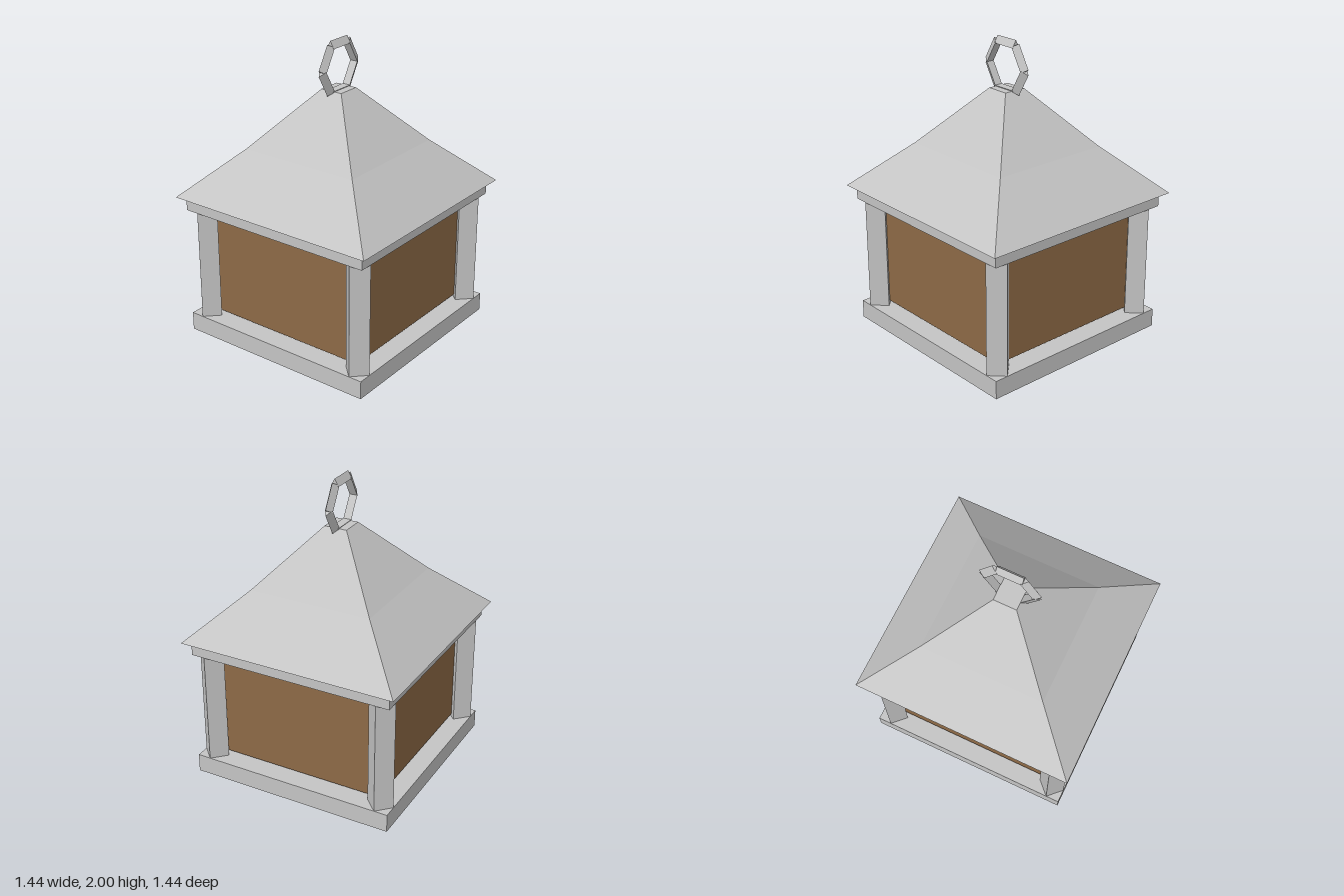
import * as THREE from 'three';

export function createModel() {
  const model = new THREE.Group();
  model.name = 'lantern';

  const metal = new THREE.MeshStandardMaterial({ color: 0xc4c4c4, flatShading: true });
  metal.name = 'grey metal';
  const amber = new THREE.MeshStandardMaterial({ color: 0x8d6a46, flatShading: true });
  amber.name = 'amber glass';

  const add = (name, geometry, material, parent = model) => {
    const mesh = new THREE.Mesh(geometry, material);
    mesh.name = name;
    parent.add(mesh);
    return mesh;
  };

  // Square slab given by its half width and its bottom and top heights
  const slab = (name, half, y0, y1, material) => {
    const mesh = add(name, new THREE.BoxGeometry(half * 2, y1 - y0, half * 2), material);
    mesh.position.y = (y0 + y1) / 2;
  };

  slab('foot', 0.555, 0, 0.06, metal);
  slab('base', 0.675, 0.08, 0.2, metal);
  slab('glassBody', 0.56, 0.22, 0.93, amber);
  slab('topPlate', 0.675, 0.93, 1.02, metal);

  // Corner posts: four-sided, turned edge-on to the front
  const posts = new THREE.Group();
  posts.name = 'posts';
  model.add(posts);
  const postGeometry = new THREE.CylinderGeometry(0.0875, 0.0875, 0.73, 4);
  for (const x of [-1, 1]) {
    for (const z of [-1, 1]) {
      add('cornerPost', postGeometry, metal, posts).position.set(x * 0.5875, 0.565, z * 0.5875);
    }
  }

  // Closed four-sided roof with a slight kink halfway up
  const profile = [[0, 1.02], [0.72, 1.02], [0.405, 1.32], [0.075, 1.685], [0, 1.685]]
    .map(([half, y]) => new THREE.Vector2(half * Math.SQRT2, y));
  add('roof', new THREE.LatheGeometry(profile, 4, Math.PI / 4), metal);

  // Hanging ring: six triangular bars with their ridges facing outward
  const ring = new THREE.Group();
  ring.name = 'hangingRing';
  ring.position.y = 1.822;
  model.add(ring);
  const barGeometry = new THREE.CylinderGeometry(0.031, 0.031, 0.166, 3)
    .rotateX(-Math.PI / 2)
    .rotateY(Math.PI / 2)
    .translate(0, 0.147, 0);
  for (let i = 0; i < 6; i++) {
    add('ringBar', barGeometry, metal, ring).rotation.z = (i * Math.PI) / 3;
  }

  return model;
}
